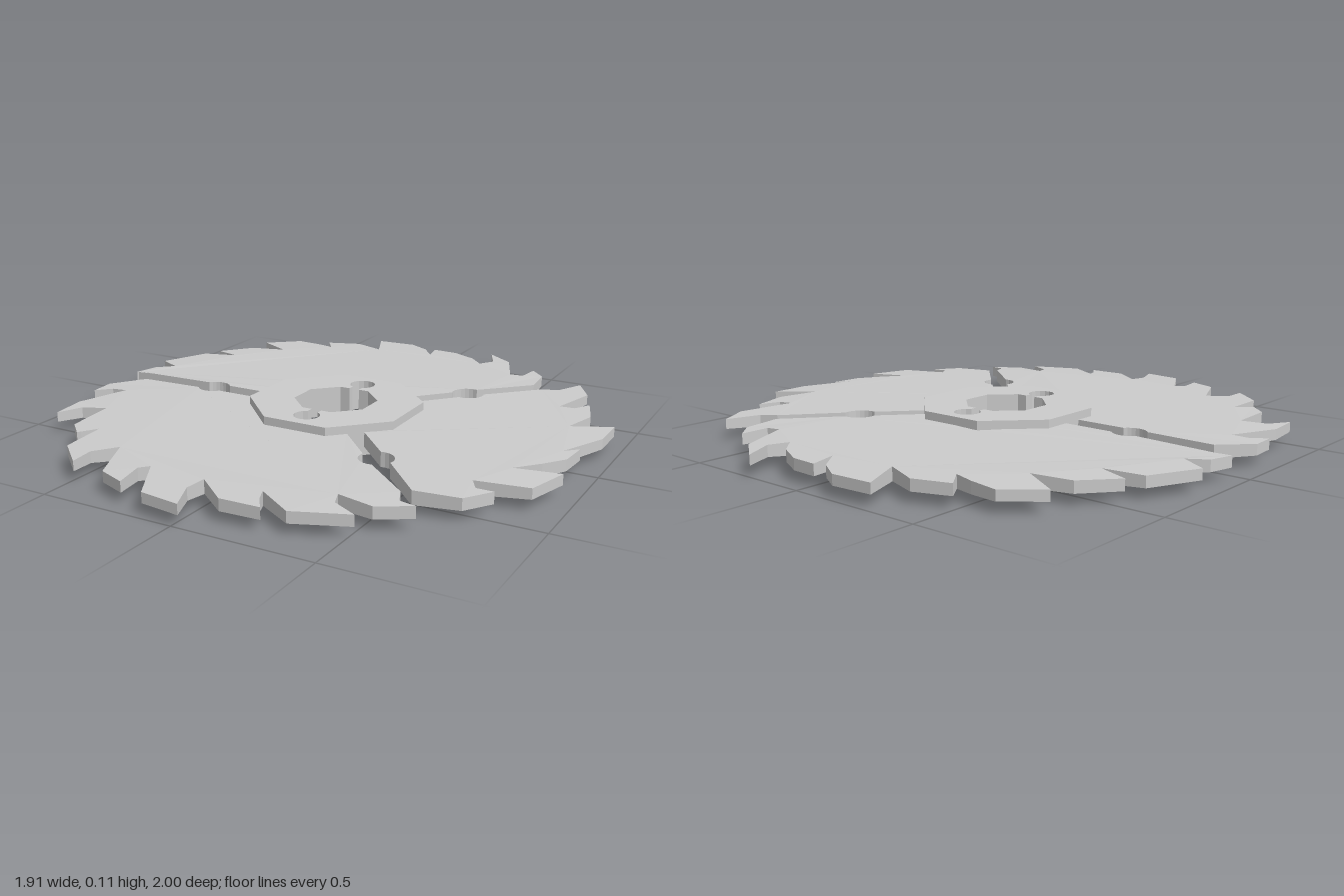
import * as THREE from 'three';

const rad = THREE.MathUtils.degToRad;
const HUB_Z = -0.01, MID_Y = 0.057, HUB_H = 0.114;

// Toothed rim of each blade segment as x, z pairs, between one slot and the next
const upperRim = [
  -0.95, -0.04, -0.95, -0.02 - 0.01, -0.925, -0.12, -0.86, -0.17, -0.955, -0.22, -0.87, -0.4, -0.73, -0.43,
  -0.84, -0.465, -0.74, -0.58, -0.6, -0.61, -0.74, -0.69, -0.62, -0.79, -0.515, -0.775, -0.44, -0.745 - 0.01,
  -0.49, -0.825, -0.36, -0.87, -0.235, -0.82, -0.3, -0.97, -0.145, -0.98, -0.06, -0.93, 0, -0.85,
  -0.02, -0.945, 0.08, -0.94, 0.18, -0.89, 0.24, -0.825, 0.275, -0.89, 0.225, -1, 0.335, -0.92,
  0.41, -0.735, 0.46, -0.745, 0.47, -0.845, 0.53, -0.78, 0.545, -0.64];
const rightRim = [
  0.59, -0.6, 0.65, -0.63, 0.7, -0.745, 0.765, -0.63, 0.72, -0.43, 0.775, -0.44, 0.81, -0.51, 0.855, -0.375,
  0.82, -0.23, 0.96, -0.315, 0.96, -0.17, 0.88, 0.02, 0.925, -0.03, 0.915, 0.085, 0.86, 0.165, 0.79, 0.25,
  0.945, 0.21, 0.9, 0.37, 0.72, 0.41, 0.75, 0.46, 0.81, 0.455, 0.745, 0.55, 0.59, 0.575];
const lowerRim = [
  0.565, 0.6, 0.59, 0.66, 0.65, 0.67, 0.54, 0.735, 0.41, 0.71, 0.43, 0.765, 0.52, 0.81, 0.335, 0.885,
  0.2, 0.8, 0.22, 0.85, 0.255, 0.9, 0.11, 0.905, -0.01, 0.81, -0.02, 0.885, 0.025, 0.995, -0.125, 0.975,
  -0.225, 0.8, -0.255, 0.83, -0.235, 0.94, -0.34, 0.9, -0.425, 0.71, -0.49, 0.785, -0.485, 0.875,
  -0.6, 0.775, -0.61, 0.6, -0.65, 0.65, -0.66, 0.66, -0.725, 0.6, -0.74, 0.41, -0.83, 0.44, -0.875, 0.525,
  -0.89, 0.39, -0.82, 0.2, -0.88, 0.205, -0.935, 0.25, -0.94, 0.155, -0.845, 0.04];

function toPoints(flat) {
  const pts = [];
  for (let i = 0; i < flat.length; i += 2) pts.push(new THREE.Vector2(flat[i], flat[i + 1]));
  return pts;
}

function arc(cx, cy, r, from, to, steps) {
  return Array.from({ length: steps + 1 }, (_, i) => {
    const a = from + (to - from) * i / steps;
    return new THREE.Vector2(cx + r * Math.cos(a), cy + r * Math.sin(a));
  });
}

// Radial slot with a round relief hole: inward along one side, outward along the other
function slot(angle, halfWidth) {
  const r = 0.061, a = Math.asin(halfWidth / r), inner = 0.288;
  return [
    ...arc(0.542, 0, r, -a, a - Math.PI, 8),
    new THREE.Vector2(inner, -halfWidth), new THREE.Vector2(inner, halfWidth),
    ...arc(0.542, 0, r, Math.PI - a, a, 8),
  ].map(p => p.rotateAround(new THREE.Vector2(), rad(angle)));
}

function octagon(apothem) {
  const r = apothem / Math.cos(Math.PI / 8);
  return arc(0, HUB_Z, r, rad(22.5), rad(337.5), 7);
}

// Octagonal bore with two opposite keyholes
function boreOutline() {
  const apothem = 0.143, r = 0.048, neck = 0.02, a = Math.acos(neck / r);
  const corner = apothem * Math.tan(Math.PI / 8);
  const half = [
    new THREE.Vector2(apothem, corner), new THREE.Vector2(corner, apothem),
    new THREE.Vector2(neck, apothem),
    ...arc(0, 0.212, r, -a, Math.PI + a, 14),
    new THREE.Vector2(-neck, apothem),
    new THREE.Vector2(-corner, apothem), new THREE.Vector2(-apothem, corner),
  ];
  const other = half.map(p => p.clone().negate());
  return [...half, ...other].map(p => p.add(new THREE.Vector2(0, HUB_Z)));
}

// Flat plate lying level, centred on the blade's mid plane
function plate(outline, hole, height) {
  const shape = new THREE.Shape(outline);
  shape.holes.push(new THREE.Path(hole));
  const geo = new THREE.ExtrudeGeometry(shape, { depth: height, bevelEnabled: false });
  geo.translate(0, 0, -height / 2);
  geo.rotateX(Math.PI / 2);
  return geo;
}

export function createModel() {
  const group = new THREE.Group();
  const material = new THREE.MeshStandardMaterial({ color: 0xcccccc, flatShading: true });

  const add = (name, geo) => {
    const mesh = new THREE.Mesh(geo, material);
    mesh.name = name;
    mesh.position.y = MID_Y;
    group.add(mesh);
  };

  // Blade, thinned towards the tips of the teeth
  const outline = [
    ...toPoints(upperRim), ...slot(-47.8, 0.031),
    ...toPoints(rightRim), ...slot(46.2, 0.031),
    ...toPoints(lowerRim), ...slot(180, 0.036),
  ];
  const blade = plate(outline, octagon(0.265), 0.054);
  const pos = blade.attributes.position;
  for (let i = 0; i < pos.count; i++) {
    const r = Math.hypot(pos.getX(i), pos.getZ(i));
    const thin = THREE.MathUtils.clamp((r - 0.75) / 0.25, 0, 1);
    pos.setY(i, pos.getY(i) * (1 - 0.33 * thin));
  }
  blade.computeVertexNormals();
  add('blade', blade);

  // Octagonal hub clamped around the bore
  add('hub', plate(octagon(0.299), boreOutline(), HUB_H));

  return group;
}
